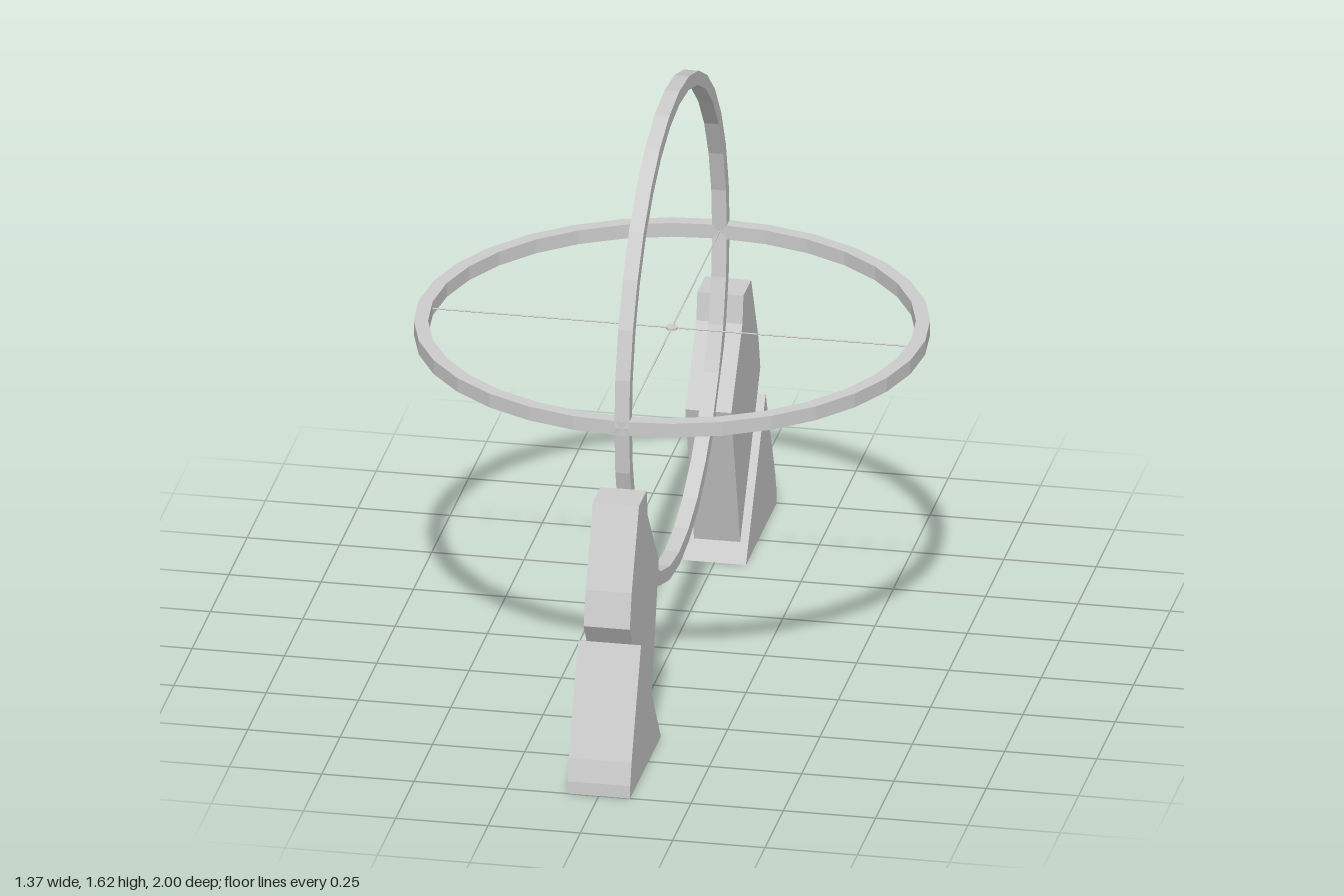
import * as THREE from 'three';

const CENTER_Y = 0.93, OUTER = 0.686, INNER = 0.648, BAND = 0.04;

function makeMaterial() {
  return new THREE.MeshStandardMaterial({ color: 0xcccccc, flatShading: true });
}

// Extrude a closed outline, centred on its depth axis
function slab(shape, depth) {
  const geo = new THREE.ExtrudeGeometry(shape, { depth, bevelEnabled: false, curveSegments: 1 });
  return geo.translate(0, 0, -depth / 2);
}

function circlePoints(radius, sides) {
  return Array.from({ length: sides }, (_, i) => {
    const a = (i / sides) * Math.PI * 2;
    return new THREE.Vector2(Math.cos(a) * radius, Math.sin(a) * radius);
  });
}

export function createModel() {
  const model = new THREE.Group();
  model.name = 'crossedRingStand';
  const material = makeMaterial();

  const add = (name, geometry, parent = model) => {
    const mesh = new THREE.Mesh(geometry, material);
    mesh.name = name;
    parent.add(mesh);
    return mesh;
  };

  // Two crossed flat-banded rings
  const ringShape = new THREE.Shape(circlePoints(OUTER, 32));
  ringShape.holes.push(new THREE.Path(circlePoints(INNER, 32)));
  const ringGeo = slab(ringShape, BAND);

  const uprightRing = add('uprightRing', ringGeo);
  uprightRing.rotation.y = Math.PI / 2;
  uprightRing.position.y = CENTER_Y;

  const levelRing = add('levelRing', ringGeo);
  levelRing.rotation.x = Math.PI / 2;
  levelRing.position.y = CENTER_Y;

  // Thin cross wires and their small hub
  const wireGeo = new THREE.CylinderGeometry(0.002, 0.002, INNER * 2, 6);
  const wireX = add('crossWire', wireGeo);
  wireX.rotation.z = Math.PI / 2;
  wireX.position.y = CENTER_Y;
  const wireZ = add('lengthWire', wireGeo);
  wireZ.rotation.x = Math.PI / 2;
  wireZ.position.y = CENTER_Y;
  add('hub', new THREE.CylinderGeometry(0.016, 0.016, 0.006, 12)).position.y = CENTER_Y;

  // Support outlines as [distance from centre, height]
  const outline = pts => new THREE.Shape(pts.map(([d, y]) => new THREE.Vector2(d, y)));
  const foot = outline([
    [0.58, 0], [1, 0], [0.998, 0.035], [0.98, 0.095], [0.85, 0.38],
  ]);
  const cradle = outline([
    [0.615, 0.05], [0.85, 0.38], [0.89, 0.44], [0.865, 0.535],
    [0.765, 0.745], [0.66, 0.745], [0.647, 0.668], [0.495, 0.475],
  ]);
  const footGeo = slab(foot, 0.17);
  const cradleGeo = slab(cradle, 0.125);

  // Front and back supports face each other
  for (const [name, turn] of [['frontSupport', -Math.PI / 2], ['backSupport', Math.PI / 2]]) {
    const support = new THREE.Group();
    support.name = name;
    support.rotation.y = turn;
    add('foot', footGeo, support);
    add('cradle', cradleGeo, support);
    model.add(support);
  }

  return model;
}
